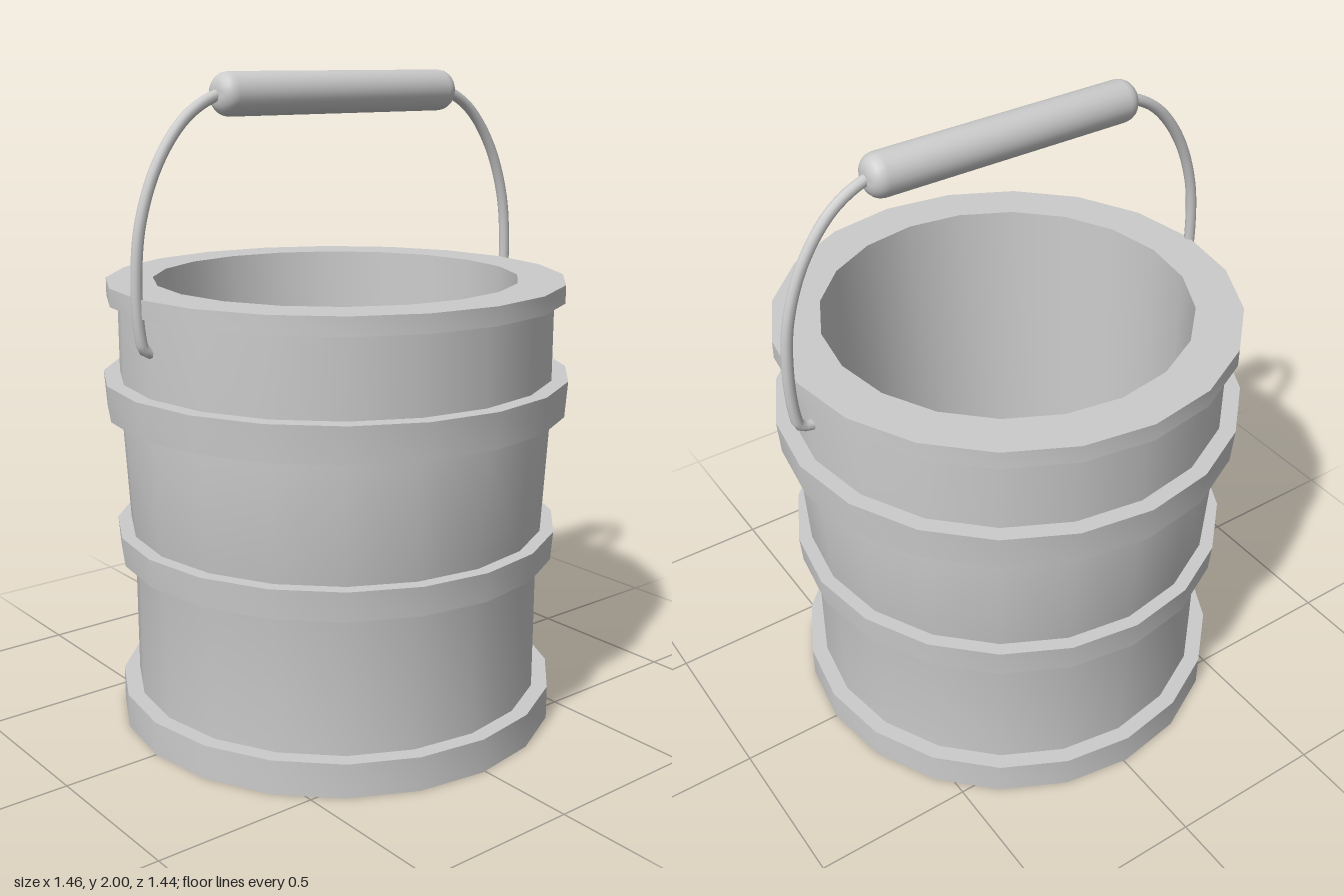
import * as THREE from 'three';
import { toCreasedNormals } from 'three/addons/utils/BufferGeometryUtils.js';

const SIDES = 20;
const TUB_X = -0.01;
const material = new THREE.MeshStandardMaterial({ color: 0xcccccc });

function addMesh(parent, name, geometry) {
  const mesh = new THREE.Mesh(geometry, material);
  mesh.name = name;
  parent.add(mesh);
  return mesh;
}

// Turned part with soft sides and sharp rims
function turned(profile, sides = SIDES) {
  const points = profile.map(([r, y]) => new THREE.Vector2(r, y));
  return toCreasedNormals(new THREE.LatheGeometry(points, sides), Math.PI / 6);
}

export function createModel() {
  const bucket = new THREE.Group();
  bucket.name = 'bucket';

  const tub = new THREE.Group();
  tub.name = 'tub';
  tub.position.x = TUB_X;
  bucket.add(tub);

  // Body: outer wall, overhanging rim, inner wall and floor
  addMesh(tub, 'body', turned([
    [0, 0], [0.64, 0], [0.64, 0.58], [0.65, 0.62], [0.67, 0.985], [0.67, 1.33],
    [0.703, 1.33], [0.703, 1.385], [0.56, 1.385], [0.535, 0.1], [0, 0.1],
  ]));

  // Hoops: bottom and top heights with their outer radii
  const hoops = [
    ['baseHoop', 0, 0.105, 0.69, 0.69],
    ['middleHoop', 0.53, 0.62, 0.685, 0.692],
    ['upperHoop', 0.985, 1.095, 0.712, 0.72],
  ];
  for (const [name, y0, y1, r0, r1] of hoops) {
    addMesh(tub, name, turned([[0.61, y0], [r0, y0], [r1, y1], [0.61, y1]]));
  }

  const handle = new THREE.Group();
  handle.name = 'handle';
  bucket.add(handle);

  // Bent wire on each side, hooked into the wall
  const wirePath = [
    [0.62, 1.227], [0.67, 1.227], [0.697, 1.24], [0.708, 1.28], [0.715, 1.42],
    [0.697, 1.59], [0.635, 1.755], [0.54, 1.877], [0.44, 1.933], [0.38, 1.938],
  ];
  for (const side of [1, -1]) {
    const curve = new THREE.CatmullRomCurve3(
      wirePath.map(([x, y]) => new THREE.Vector3(side * x, y, 0)));
    addMesh(handle, side > 0 ? 'leftWire' : 'rightWire',
      new THREE.TubeGeometry(curve, 48, 0.017, 10));
  }

  // Grip: cylinder with rounded ends
  const gripRadius = 0.063, half = 0.442, round = 0.045;
  const profile = [[0, -half]];
  for (const end of [-1, 1]) {
    for (let i = 0; i <= 5; i++) {
      const a = (end < 0 ? i - 5 : i) / 5 * Math.PI / 2;
      profile.push([
        gripRadius - round + round * Math.cos(a),
        end * (half - round) + round * Math.sin(a),
      ]);
    }
  }
  profile.push([0, half]);
  const grip = addMesh(handle, 'grip', turned(profile, 24));
  grip.rotation.z = -Math.PI / 2;
  grip.position.y = 1.937;

  return bucket;
}
